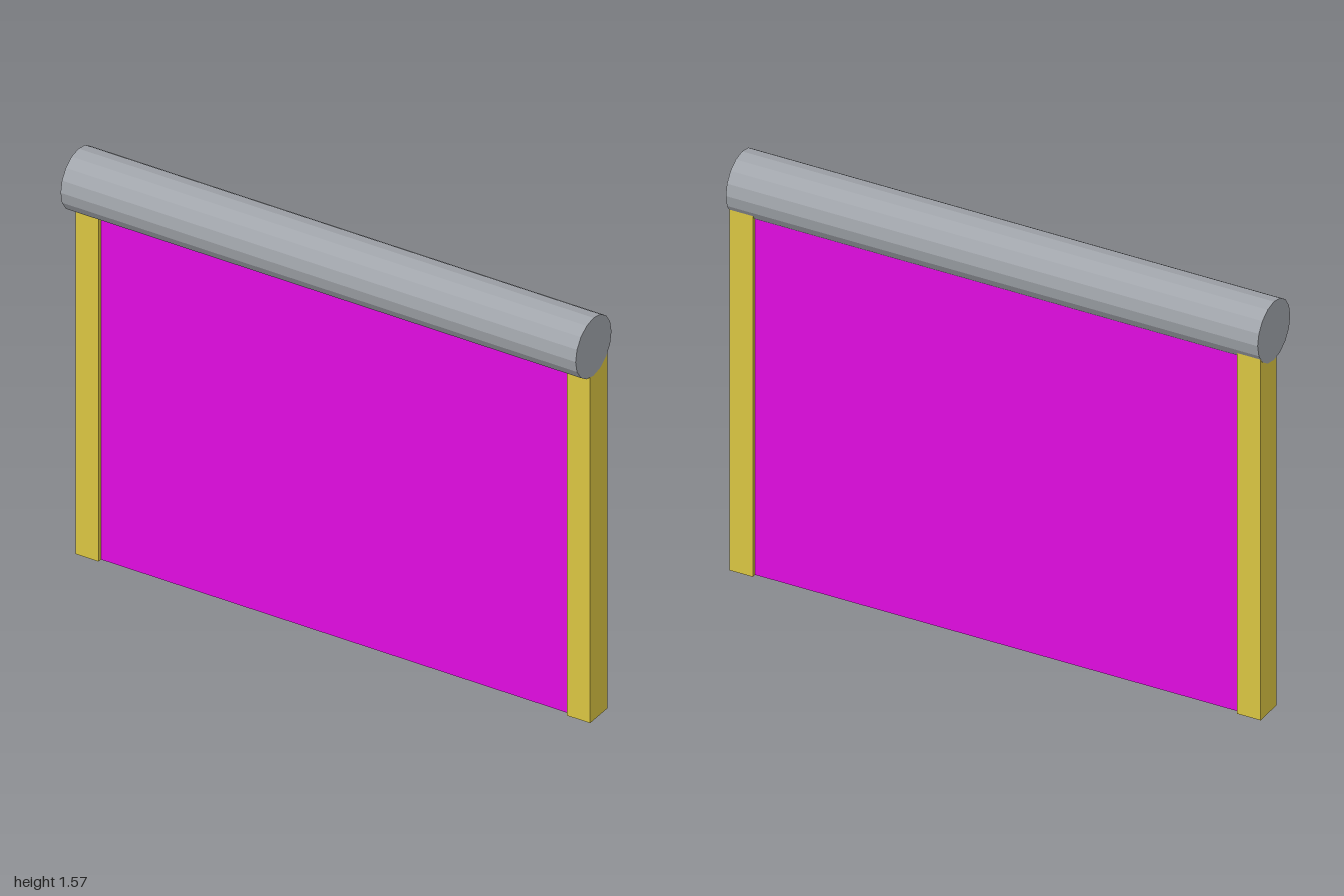
import * as THREE from 'three';

export function createModel() {
  const group = new THREE.Group();
  const paint = (color) => new THREE.MeshStandardMaterial({ color, flatShading: true });
  const add = (name, geometry, material, x, y, z) => {
    const mesh = new THREE.Mesh(geometry, material);
    mesh.name = name;
    mesh.position.set(x, y, z);
    group.add(mesh);
    return mesh;
  };
  const depthCentre = -0.035;

  // Horizontal housing the shutter rolls into
  const housing = add('rollerHousing', new THREE.CylinderGeometry(0.1125, 0.1125, 2, 16), paint(0xa0a4aa), 0, 1.457, 0);
  housing.rotation.z = Math.PI / 2;

  // Side guide posts, tops tucked into the housing
  const yellow = paint(0xd9c441);
  for (const [name, side] of [['leftPost', 1], ['rightPost', -1]]) {
    add(name, new THREE.BoxGeometry(0.089, 1.41, 0.11), yellow, side * 0.9545, 0.705, depthCentre);
  }

  // Shutter panel, slightly recessed between the posts
  add('shutterPanel', new THREE.BoxGeometry(1.82, 1.4, 0.08), paint(0xe00be0), 0, 0.7, depthCentre);

  return group;
}
